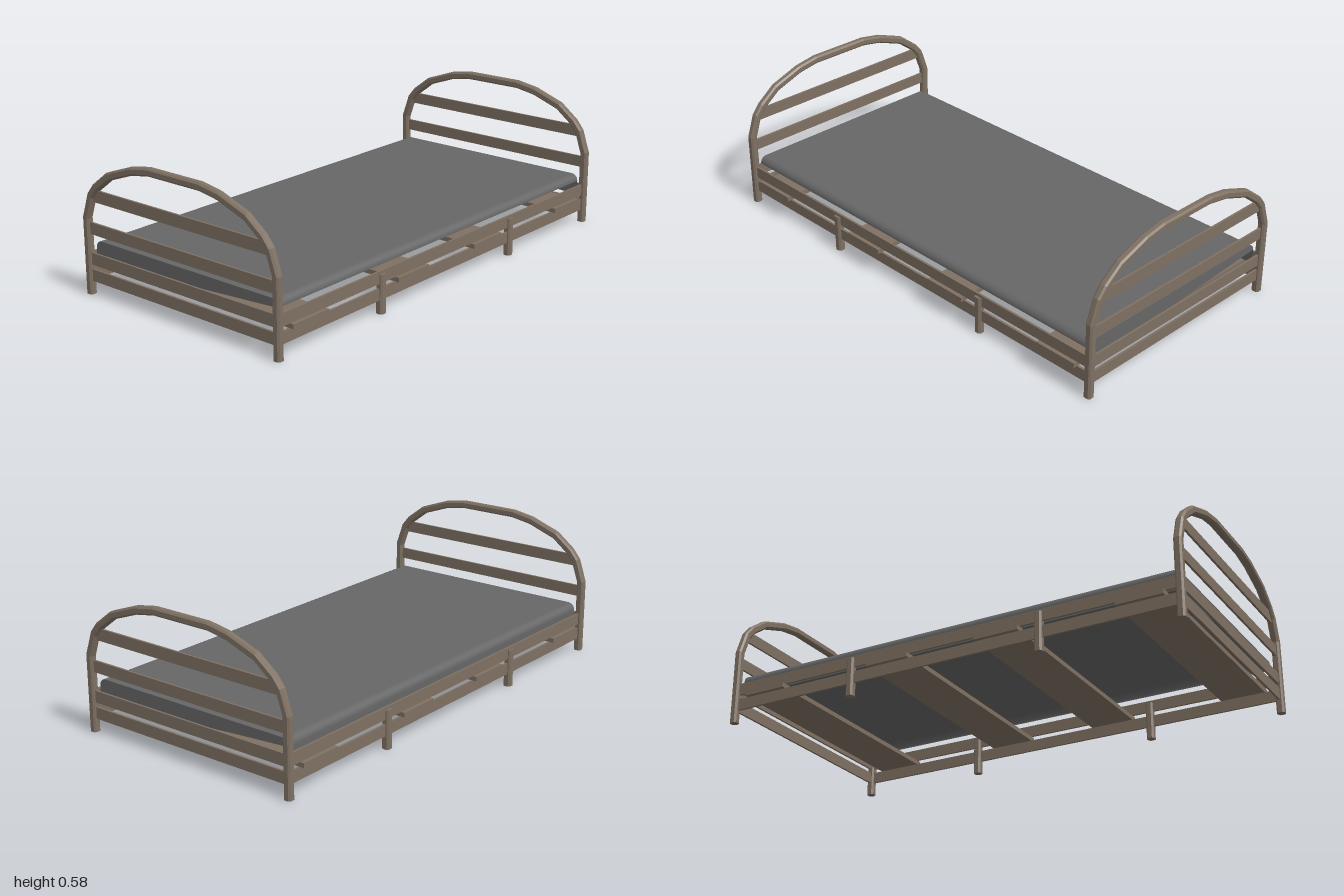
import * as THREE from 'three';

const ARCH_X = 0.984, RAIL_Z = 0.492, H = 0.016, C = 0.009;

// Square bar section with chamfered corners, counter-clockwise
const section = [[H, -C], [H, C], [C, H], [-C, H], [-H, C], [-H, -C], [-C, -H], [C, -H]];

// Bar swept along a [z, y] path with mitred corners and closed ends
function barGeometry(path) {
  const pos = [], index = [], sides = section.length, last = path.length - 1;
  const normal = (a, b) => new THREE.Vector2(b[1] - a[1], a[0] - b[0]).normalize();
  path.forEach((p, i) => {
    const before = normal(path[Math.max(i - 1, 0)], path[Math.max(i, 1)]);
    const after = normal(path[Math.min(i, last - 1)], path[Math.min(i + 1, last)]);
    const n = before.clone().add(after).normalize();
    n.divideScalar(n.dot(before));
    for (const [u, v] of section) pos.push(v, p[1] + n.y * u, p[0] + n.x * u);
  });
  for (let i = 0; i < last; i++) {
    for (let j = 0; j < sides; j++) {
      const a = i * sides + j, b = i * sides + (j + 1) % sides;
      index.push(a, b, a + sides, b, b + sides, a + sides);
    }
  }
  const end = last * sides;
  for (let j = 1; j < sides - 1; j++) {
    index.push(0, j + 1, j, end, end + j, end + j + 1);
  }
  const g = new THREE.BufferGeometry();
  g.setAttribute('position', new THREE.Float32BufferAttribute(pos, 3));
  g.setIndex(index);
  const flat = g.toNonIndexed();
  flat.computeVertexNormals();
  return flat;
}

// Extrude a (z, y) shape along x, centred
function extrudeX(shape, length) {
  const g = new THREE.ExtrudeGeometry(shape, { depth: length, bevelEnabled: false });
  return g.translate(0, 0, -length / 2).rotateY(Math.PI / 2);
}

// Smooth sheet spanning x between two copies of a (z, y) outline, open below
function sheetX(points, length) {
  const pos = [], index = [];
  points.forEach((p, i) => {
    pos.push(-length / 2, p.y, p.x, length / 2, p.y, p.x);
    const a = i * 2;
    if (i > 0) index.push(a - 2, a - 1, a, a - 1, a + 1, a);
  });
  const g = new THREE.BufferGeometry();
  g.setAttribute('position', new THREE.Float32BufferAttribute(pos, 3));
  g.setIndex(index);
  g.computeVertexNormals();
  return g;
}

export function createModel() {
  const model = new THREE.Group();
  model.name = 'bed';
  const wood = new THREE.MeshStandardMaterial({ color: 0x7f7163 });
  wood.name = 'brownFrame';
  const fabric = new THREE.MeshStandardMaterial({ color: 0x666666, side: THREE.DoubleSide });
  fabric.name = 'greyMattress';

  const add = (name, geometry, material, x = 0, y = 0, z = 0) => {
    const mesh = new THREE.Mesh(geometry, material);
    mesh.name = name;
    mesh.position.set(x, y, z);
    model.add(mesh);
  };

  // Arched headboard and footboard, each with four cross boards
  const half = [[0.4945, 0], [0.4945, 0.313], [0.463, 0.405], [0.432, 0.443],
    [0.355, 0.502], [0.227, 0.548], [0.133, 0.564]];
  const arch = barGeometry([...half, ...half.map(([z, y]) => [-z, y]).reverse()]);
  const boards = [ // bottom, top, half width at bottom, half width at top
    [0.055, 0.103, 0.49, 0.49],
    [0.122, 0.171, 0.49, 0.49],
    [0.247, 0.295, 0.49, 0.49],
    [0.382, 0.431, 0.468, 0.44],
  ].map(([y0, y1, w0, w1]) => extrudeX(new THREE.Shape([
    new THREE.Vector2(-w0, y0), new THREE.Vector2(w0, y0),
    new THREE.Vector2(w1, y1), new THREE.Vector2(-w1, y1),
  ]), 0.009));
  for (const s of [-1, 1]) {
    const name = s < 0 ? 'headboard' : 'footboard';
    add(name + 'Arch', arch, wood, s * ARCH_X);
    boards.forEach((b, i) => add(name + 'Board' + (i + 1), b, wood, s * ARCH_X));
  }

  // Side rails and middle legs
  const leg = barGeometry([[0, 0], [0, 0.16]]);
  for (const s of [-1, 1]) {
    const side = s < 0 ? 'back' : 'front';
    add(side + 'LowerRail', new THREE.BoxGeometry(1.96, 0.048, 0.009), wood, 0, 0.079, s * RAIL_Z);
    add(side + 'UpperRail', new THREE.BoxGeometry(1.96, 0.049, 0.009), wood, 0, 0.1465, s * RAIL_Z);
    for (const x of [-0.417, 0.417]) add(side + 'MiddleLeg', leg, wood, x, 0, s * RAIL_Z);
  }

  // Wide slats lying between the rails
  for (const x of [-0.83, -0.242, 0.242, 0.83]) {
    add('slat', new THREE.BoxGeometry(0.189, 0.019, 1.026), wood, x, 0.1125, 0);
  }

  // Hollow mattress with rounded upper long edges, flat ends and an open underside
  const w = 0.477, bottom = 0.122, top = 0.216, r = 0.03, length = 1.925;
  const profile = new THREE.Shape();
  profile.moveTo(w, bottom);
  profile.absarc(w - r, top - r, r, 0, Math.PI / 2);
  profile.absarc(-w + r, top - r, r, Math.PI / 2, Math.PI);
  profile.lineTo(-w, bottom);
  add('mattress', sheetX(profile.getPoints(8), length), fabric);
  for (const s of [-1, 1]) {
    const cap = new THREE.ShapeGeometry(profile, 8).rotateY(s * Math.PI / 2);
    add('mattressEnd', cap, fabric, s * length / 2);
  }

  return model;
}
